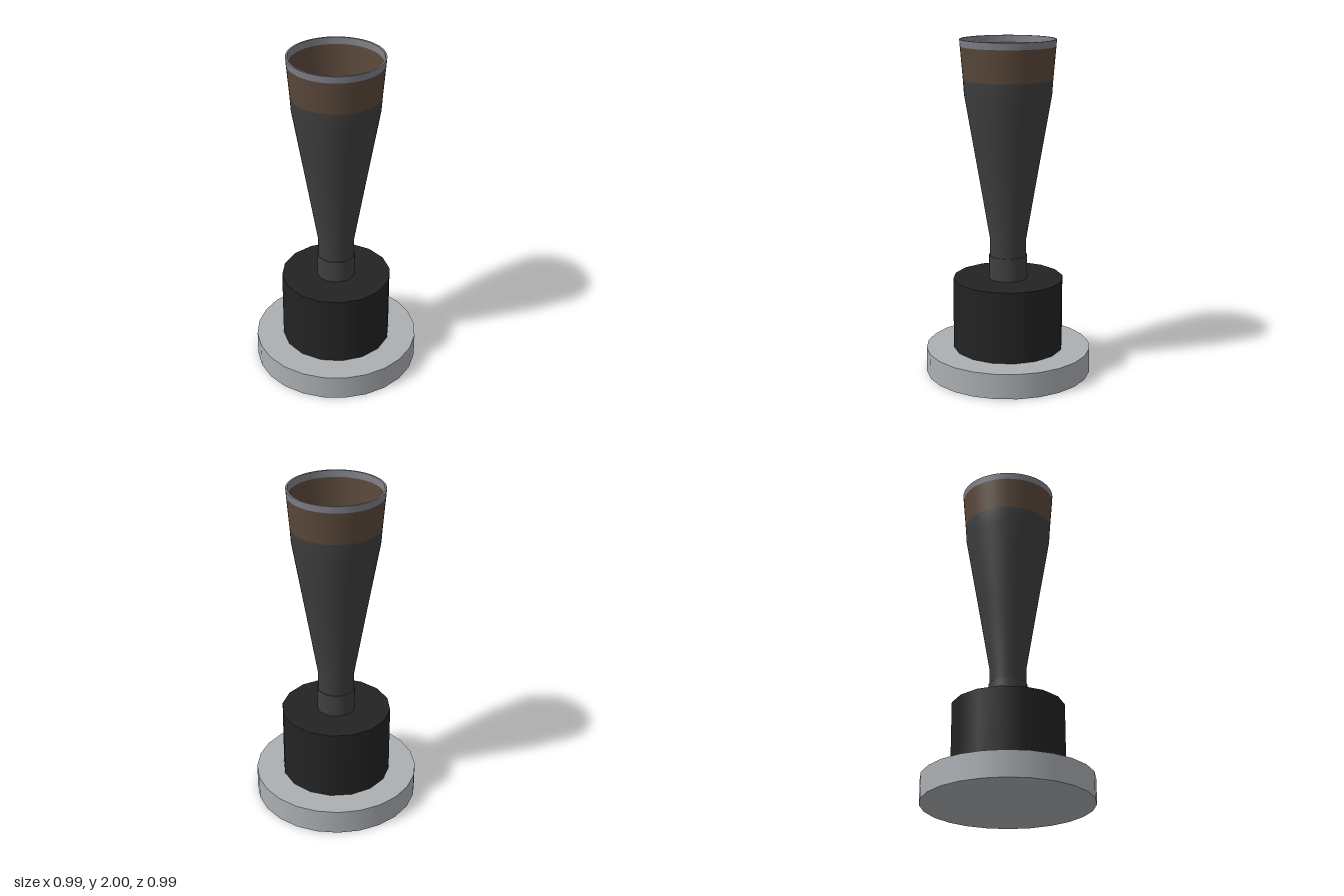
import * as THREE from 'three';

const material = (name, color) => {
  const m = new THREE.MeshStandardMaterial({ color });
  m.name = name;
  return m;
};

export function createModel() {
  const model = new THREE.Group();
  model.name = 'hornOnStand';

  const baseGrey = material('baseGrey', 0xabafb3);
  const drumBlack = material('drumBlack', 0x232323);
  const hornCharcoal = material('hornCharcoal', 0x3f3f3f);
  const bandBrown = material('bandBrown', 0x5a483a);
  const rimGrey = material('rimGrey', 0x7f8088);

  const add = (name, geometry, mat, y = 0, parent = model) => {
    const mesh = new THREE.Mesh(geometry, mat);
    mesh.name = name;
    mesh.position.y = y;
    parent.add(mesh);
  };

  // Surface of revolution; profiles run upward outside and downward inside
  const lathe = (points) =>
    new THREE.LatheGeometry(points.map(([r, y]) => new THREE.Vector2(r, y)), 64);

  // Stepped stand
  add('base', new THREE.CylinderGeometry(0.495, 0.495, 0.15, 24), baseGrey, 0.075);
  add('drum', new THREE.CylinderGeometry(0.33, 0.33, 0.43, 16), drumBlack, 0.365);

  // Collar around the foot of the horn
  add('collar', lathe([[0.113, 0.58], [0.113, 0.72]]), hornCharcoal);
  add('collarTop', lathe([[0.113, 0.72], [0.108, 0.72]]), hornCharcoal);

  // Hollow flared horn: separate outer and inner walls keep the lip sharp
  const horn = new THREE.Group();
  horn.name = 'horn';
  model.add(horn);
  const walls = [
    ['bell', hornCharcoal,
      [[0.108, 0.58], [0.108, 0.82], [0.18, 1.245], [0.255, 1.68], [0.261, 1.77]],
      [[0.25, 1.77], [0.244, 1.68], [0.169, 1.245], [0.1, 0.82], [0.1, 0.58]]],
    ['band', bandBrown,
      [[0.261, 1.77], [0.277, 1.96]],
      [[0.266, 1.96], [0.25, 1.77]]],
    ['rim', rimGrey,
      [[0.277, 1.96], [0.28, 2]],
      [[0.269, 2], [0.266, 1.96]]],
  ];
  for (const [name, mat, outer, inner] of walls) {
    add(name + 'Outside', lathe(outer), mat, 0, horn);
    add(name + 'Inside', lathe(inner), mat, 0, horn);
  }
  add('rimLip', lathe([[0.28, 2], [0.269, 2]]), rimGrey, 0, horn);

  return model;
}
